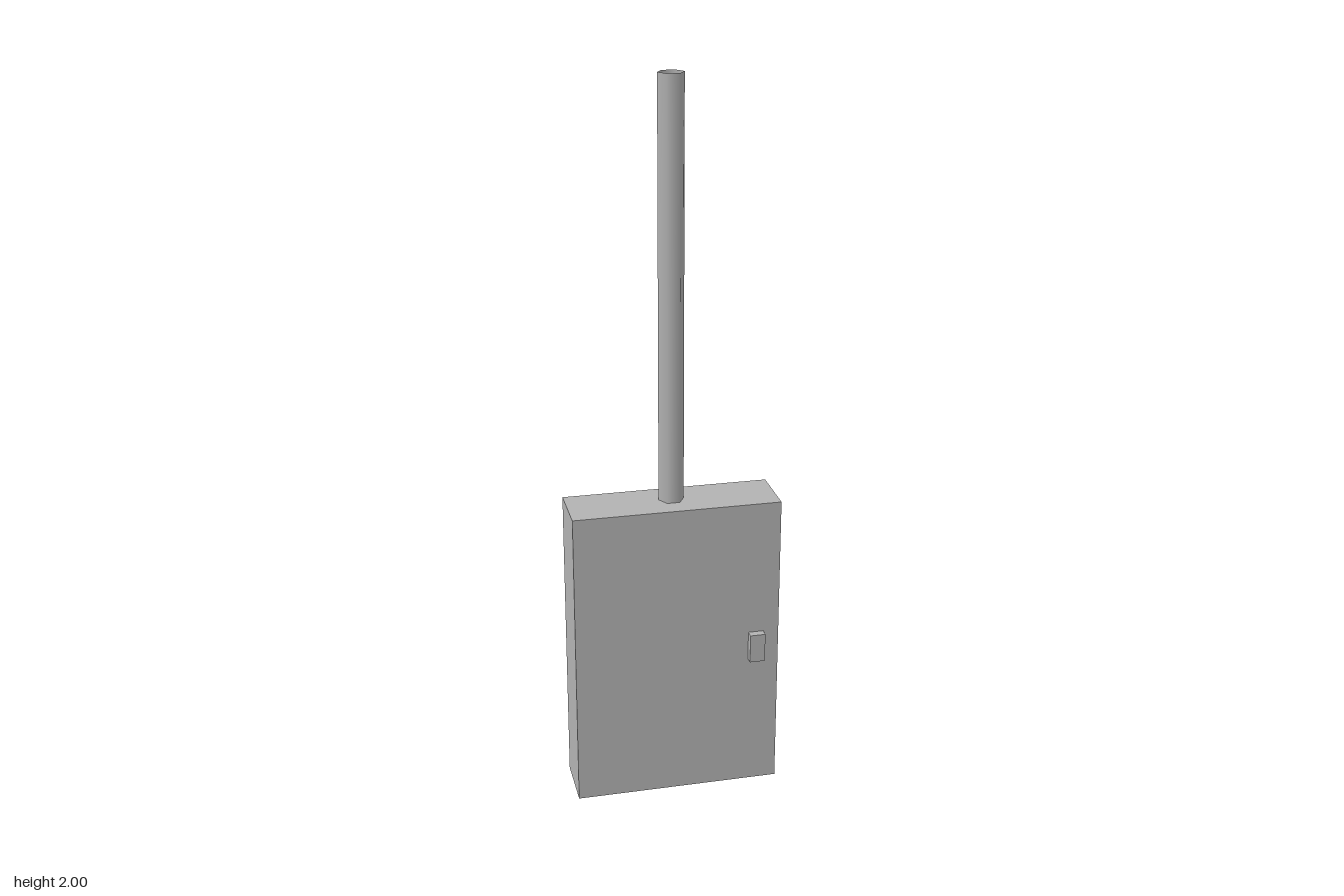
import * as THREE from 'three';

const grey = new THREE.MeshStandardMaterial({ color: 0xb3b3b3, side: THREE.DoubleSide });
grey.name = 'grey metal';

const W = 0.573, H = 0.858, FRONT = 0.07, BACK = -0.093;

function addPart(group, name, geometry, x, y, z) {
  const mesh = new THREE.Mesh(geometry, grey);
  mesh.name = name;
  mesh.position.set(x, y, z);
  group.add(mesh);
  return mesh;
}

export function createModel() {
  const model = new THREE.Group();
  model.name = 'electricalCabinet';

  // Thin sheet housing, open at the back (the -z face is the last six indices)
  const shell = new THREE.BoxGeometry(W, H, FRONT - BACK);
  shell.setIndex(Array.from(shell.index.array).slice(0, 30));
  shell.clearGroups();
  addPart(model, 'housing', shell, 0, H / 2, (FRONT + BACK) / 2);

  // Back panel, with an open gap all round
  const panel = addPart(model, 'backPanel', new THREE.PlaneGeometry(0.516, 0.8), 0, H / 2, BACK + 0.003);
  panel.rotation.y = Math.PI;

  // Door handle
  addPart(model, 'handle', new THREE.BoxGeometry(0.043, 0.083, 0.022), 0.222, 0.43, FRONT + 0.011);

  // Hollow six-sided conduit rising from the top
  const pipe = new THREE.CylinderGeometry(0.035, 0.035, 2 - H, 6, 1, true, Math.PI / 6);
  addPart(model, 'conduit', pipe, 0, (2 + H) / 2, -0.018);

  return model;
}
